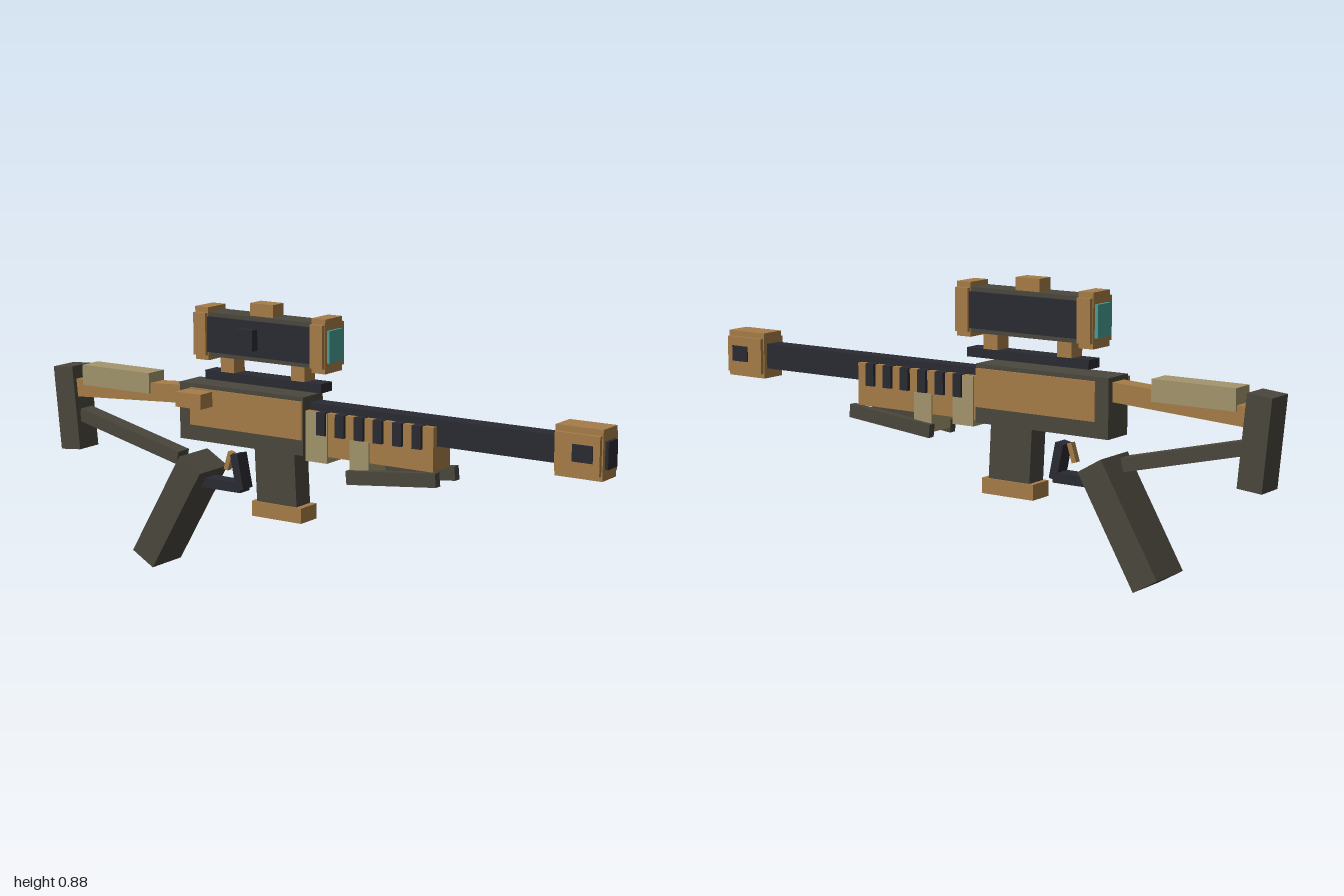
import * as THREE from 'three';

const mat = (name, color) => {
  const m = new THREE.MeshStandardMaterial({ color });
  m.name = name;
  return m;
};

export function createModel() {
  const tan = mat('tan', 0xa67d48);
  const gray = mat('olive gray', 0x4b473e);
  const dark = mat('dark steel', 0x2a2a33);
  const beige = mat('beige', 0xa3956c);
  const teal = mat('teal glass', 0x4a9d96);

  const model = new THREE.Group();
  model.name = 'rifle';
  const ZC = -0.021; // centre plane of the weapon

  // box from x and y ranges, depth d around the centre plane
  const box = (name, m, x0, x1, y0, y1, d, z = ZC) => {
    const mesh = new THREE.Mesh(new THREE.BoxGeometry(x1 - x0, y1 - y0, d), m);
    mesh.position.set((x0 + x1) / 2, (y0 + y1) / 2, z);
    mesh.name = name;
    model.add(mesh);
    return mesh;
  };
  // tilted box from centre, size and roll
  const bar = (name, m, x, y, w, h, d, angle, z = ZC) => {
    const mesh = box(name, m, x - w / 2, x + w / 2, y - h / 2, y + h / 2, d, z);
    mesh.rotation.z = angle;
    return mesh;
  };

  // receiver with side panels and bolt handle
  box('receiver', gray, -0.478, -0.01, 0.438, 0.618, 0.104);
  box('receiverPanel', tan, -0.435, -0.012, 0.487, 0.605, 0.116);
  box('boltHandle', tan, -0.445, -0.347, 0.553, 0.6, 0.117, 0.0385);

  // barrel and muzzle brake
  box('barrel', dark, 0.0, 0.997, 0.52, 0.6, 0.057);
  box('muzzleCore', tan, 0.838, 0.987, 0.488, 0.635, 0.084);
  box('muzzleSides', tan, 0.842, 0.983, 0.503, 0.617, 0.108);
  box('muzzlePort', dark, 0.898, 0.962, 0.538, 0.588, 0.114);

  // handguard with vent slots and clamps
  box('handguard', tan, -0.005, 0.445, 0.445, 0.578, 0.096);
  for (let i = 0; i < 6; i++) {
    const x = 0.042 + i * 0.067;
    box('ventSlot', dark, x, x + 0.031, 0.51, 0.58, 0.118);
  }
  box('rearClamp', beige, 0.0, 0.077, 0.425, 0.577, 0.106);
  box('frontClamp', beige, 0.157, 0.225, 0.39, 0.507, 0.104);

  // folded bipod legs
  for (const side of [-1, 1]) {
    bar('bipodLeg', gray, 0.31, 0.411, 0.312, 0.042, 0.025, 0.103, ZC + side * 0.055);
  }

  // magazine
  bar('magazine', gray, -0.124, 0.36, 0.148, 0.2, 0.073, 0.05);
  box('magazineBase', tan, -0.21, -0.025, 0.222, 0.27, 0.084);

  // grip, trigger and guard
  bar('grip', gray, -0.524, 0.194, 0.092, 0.384, 0.147, -0.527);
  bar('trigger', tan, -0.325, 0.375, 0.016, 0.06, 0.02, -0.3);
  bar('triggerGuardFront', dark, -0.28, 0.347, 0.028, 0.112, 0.05, 0.2);
  box('triggerGuardBottom', dark, -0.42, -0.268, 0.282, 0.314, 0.05);

  // stock
  bar('stockBeam', tan, -0.69, 0.562, 0.46, 0.058, 0.062, 0.06);
  box('cheekRest', beige, -0.885, -0.612, 0.562, 0.628, 0.077);
  bar('stockStrut', gray, -0.71, 0.412, 0.41, 0.042, 0.055, -0.235);
  bar('buttPad', gray, -0.949, 0.48, 0.079, 0.273, 0.092, 0.095);

  // rail and scope mounts
  box('rail', dark, -0.395, 0.04, 0.632, 0.66, 0.058);
  for (const x of [-0.31, -0.046]) box('scopeMount', tan, x - 0.025, x + 0.025, 0.655, 0.72, 0.057);

  // scope tube, end rings, lenses and turrets
  box('scopeTube', gray, -0.4, 0.05, 0.708, 0.845, 0.082);
  box('scopeSides', dark, -0.4, 0.05, 0.722, 0.832, 0.1);
  for (const x of [-0.394, 0.04]) {
    box('scopeRingTall', tan, x - 0.025, x + 0.025, 0.695, 0.86, 0.09);
    box('scopeRingWide', tan, x - 0.023, x + 0.023, 0.711, 0.843, 0.117);
  }
  box('lenses', teal, -0.43, 0.074, 0.727, 0.825, 0.072);
  box('topTurret', tan, -0.222, -0.137, 0.83, 0.884, 0.057);
  box('sideTurret', dark, -0.243, -0.18, 0.744, 0.809, 0.035, 0.038);

  return model;
}
